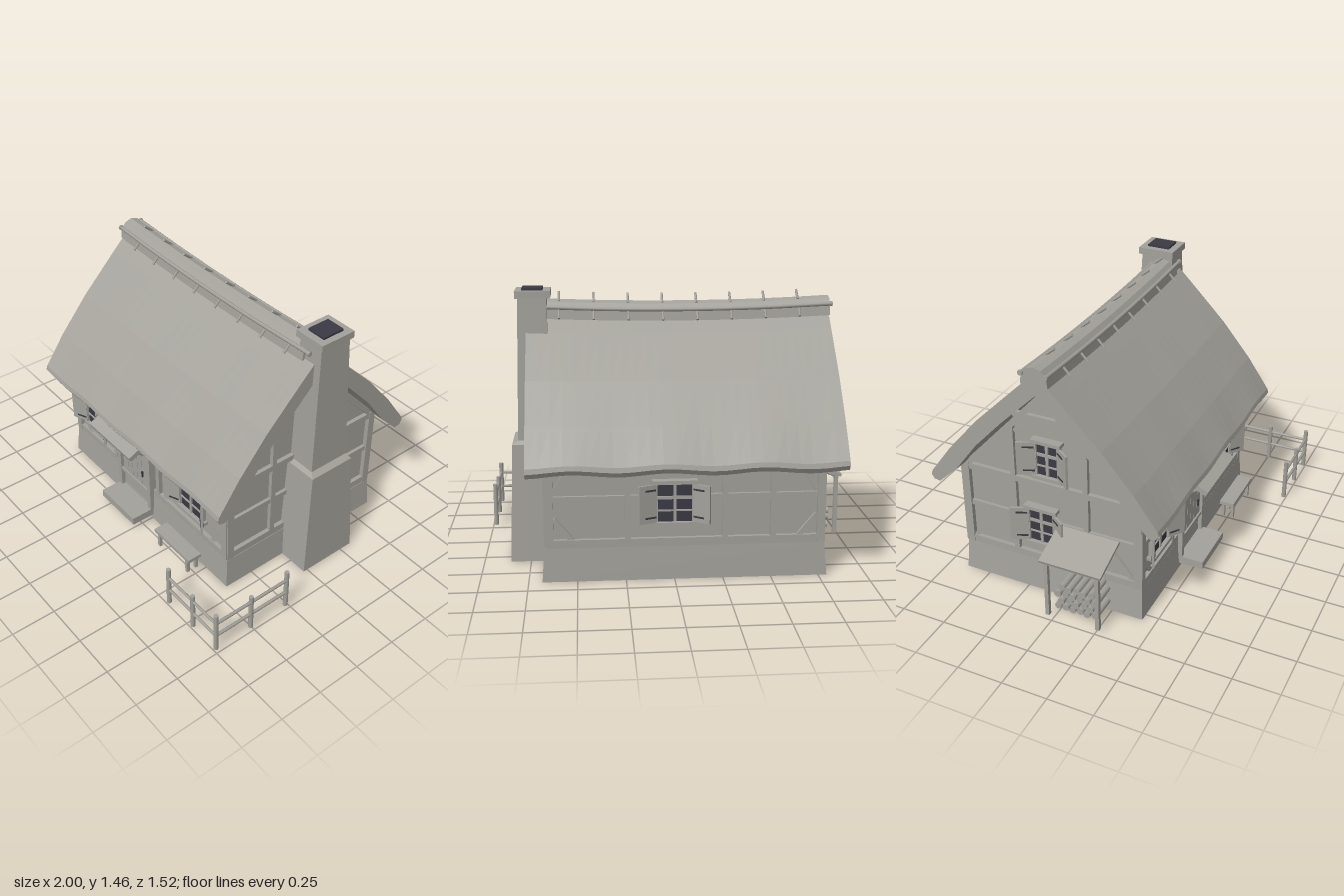
import * as THREE from 'three';

const grey = new THREE.MeshStandardMaterial({ color: 0xa3a19a });
grey.name = 'weathered grey';
const dark = new THREE.MeshStandardMaterial({ color: 0x3b3a44 });
dark.name = 'dark glass and iron';

const CX = -0.06, CZ = -0.11; // centre of the house

function add(parent, name, geo, mat = grey) {
  const m = new THREE.Mesh(geo, mat);
  m.name = name;
  parent.add(m);
  return m;
}
function box(parent, name, w, h, d, x, y, z, mat) {
  const m = add(parent, name, new THREE.BoxGeometry(w, h, d), mat);
  m.position.set(x, y, z);
  return m;
}
function group(parent, name, x = 0, y = 0, z = 0, ry = 0) {
  const g = new THREE.Group();
  g.name = name;
  g.position.set(x, y, z);
  g.rotation.y = ry;
  parent.add(g);
  return g;
}
// Round pole between two points
function pole(parent, name, a, b, r, sides = 8, mat) {
  const A = new THREE.Vector3(...a), B = new THREE.Vector3(...b), d = B.clone().sub(A);
  const m = add(parent, name, new THREE.CylinderGeometry(r, r, d.length(), sides), mat);
  m.position.copy(A).addScaledVector(d, 0.5);
  m.quaternion.setFromUnitVectors(new THREE.Vector3(0, 1, 0), d.normalize());
  return m;
}
// Box whose lower and upper rectangles [x0, x1, z0, z1] differ
function taper(parent, name, lo, hi, y0, y1) {
  const g = new THREE.BoxGeometry(1, 1, 1), p = g.attributes.position;
  for (let i = 0; i < p.count; i++) {
    const up = p.getY(i) > 0, r = up ? hi : lo;
    p.setXYZ(i, r[p.getX(i) > 0 ? 1 : 0], up ? y1 : y0, r[p.getZ(i) > 0 ? 3 : 2]);
  }
  g.computeVertexNormals();
  return add(parent, name, g);
}
// Prism along x from a [d, y] section, d being measured from the ridge line
function prism(pts, x0, x1, steps = 1) {
  const shape = new THREE.Shape(pts.map(([d, y]) => new THREE.Vector2(d, y)));
  const g = new THREE.ExtrudeGeometry(shape, { depth: x1 - x0, steps, bevelEnabled: false });
  g.rotateY(Math.PI / 2);
  g.translate(x0, 0, CZ);
  return g;
}
const sag = (x) => 0.022 * (((x - CX) / 0.81) ** 2 - 0.5);
// Sagging ridge and wavy eaves
function weather(g) {
  const p = g.attributes.position;
  for (let i = 0; i < p.count; i++) {
    const x = p.getX(i), y = p.getY(i);
    const t = THREE.MathUtils.clamp((y - 0.6) / 0.75, 0, 1);
    p.setY(i, y + sag(x) * t + 0.008 * Math.sin(13 * x + 1) * (1 - t) ** 3);
  }
  g.computeVertexNormals();
  return g;
}

// Timber lying on a wall between two points of that wall
function timber(wall, u0, v0, u1, v1, w = 0.034, depth = 0.025) {
  const m = box(wall, 'timber', Math.hypot(u1 - u0, v1 - v0), w, depth, (u0 + u1) / 2, (v0 + v1) / 2, depth / 2);
  m.rotation.z = Math.atan2(v1 - v0, u1 - u0);
}
function windowUnit(wall, u, v, w = 0.19, h = 0.2) {
  const g = group(wall, 'window', u, v, 0.012);
  box(g, 'glass', w, h, 0.008, 0, 0, 0.008, dark);
  for (const s of [-1, 1]) {
    box(g, 'windowJamb', 0.014, h, 0.03, s * w / 2, 0, 0.008);
    box(g, s > 0 ? 'lintel' : 'windowSill', w + 0.04, 0.02, 0.045, 0, s * (h / 2 + 0.01), 0.012);
    // Half-open shutter with iron straps
    const hinge = group(g, 'shutter', s * w / 2, 0, 0.02, -s * (s > 0 ? 0.62 : 0.4));
    box(hinge, 'shutterBoard', 0.098, h, 0.012, s * 0.049, 0, 0);
    for (const k of [-1, 1])
      box(hinge, 'strap', 0.06, 0.009, 0.018, s * 0.035, k * h * 0.36, 0, dark);
  }
  box(g, 'mullion', 0.016, h, 0.014, 0, 0, 0.013);
  box(g, 'glazingRail', w, 0.016, 0.014, 0, h * 0.14, 0.013);
  box(g, 'glazingRail', w, 0.008, 0.012, 0, -h * 0.2, 0.013);
}
// Frame shared by all four walls
function framing(wall, half, studs) {
  timber(wall, -half, 0.2, half, 0.2, 0.042);
  timber(wall, -half, 0.668, half, 0.668);
  timber(wall, -half, 0.435, half, 0.435, 0.03, 0.02);
  for (const s of [-1, 1]) timber(wall, s * (half - 0.02), 0.18, s * (half - 0.02), 0.69, 0.042, 0.028);
  for (const u of studs) timber(wall, u, 0.2, u, 0.66, 0.03);
}

export function createModel() {
  const model = new THREE.Group();
  model.name = 'cottage';

  // Stone plinth and plastered body
  taper(model, 'plinth', [-0.795, 0.68, -0.64, 0.426], [-0.78, 0.667, -0.63, 0.415], 0, 0.178);
  add(model, 'walls', prism([[-0.502, 0.15], [0.502, 0.15], [0.502, 0.65], [0, 1.2], [-0.502, 0.65]], -0.757, 0.642));

  // Timber-framed walls
  const front = group(model, 'frontWall', CX, 0, CZ + 0.5);
  const back = group(model, 'backWall', CX, 0, CZ - 0.5, Math.PI);
  const right = group(model, 'chimneyGable', 0.64, 0, CZ, Math.PI / 2);
  const left = group(model, 'leanToGable', -0.755, 0, CZ, -Math.PI / 2);
  framing(front, 0.72, [-0.31, 0.105]);
  framing(back, 0.72, [-0.3, 0.2, 0.45]);
  for (const wall of [front, back])
    for (const s of [-1, 1]) {
      timber(wall, s * 0.68, 0.33, s * 0.58, 0.21, 0.026, 0.018);
      timber(wall, s * 0.68, 0.46, s * 0.57, 0.64, 0.026, 0.018);
    }
  for (const wall of [left, right]) {
    framing(wall, 0.52, [-0.21, 0.21]);
    timber(wall, -0.19, 1.055, 0.19, 1.055, 0.03);
    for (const s of [-1, 1]) {
      timber(wall, s * 0.21, 0.68, s * 0.21, 0.98, 0.028);
      timber(wall, s * 0.48, 0.69, 0, 1.215, 0.034);
      timber(wall, s * 0.19, 0.95, s * 0.07, 1.05, 0.026, 0.02);
    }
  }
  for (const s of [-1, 1]) timber(left, s * 0.47, 0.22, s * 0.3, 0.42, 0.026, 0.018);
  windowUnit(front, -0.495, 0.41);
  windowUnit(front, 0.42, 0.41);
  windowUnit(back, -0.06, 0.41);
  windowUnit(left, -0.05, 0.41, 0.15);
  windowUnit(left, 0, 0.83, 0.13, 0.19);

  // Thatched roof
  const outer = [[0.13, 1.23], [0.35, 1.013], [0.52, 0.815], [0.648, 0.64], [0.655, 0.615], [0.64, 0.59], [0.605, 0.585]];
  const inner = [[0.495, 0.69], [0.364, 0.865], [0.2, 1.04]];
  const half = [...outer, ...inner];
  const section = [[0, 1.355], ...half, [0, 1.235], ...half.map(([d, y]) => [-d, y]).reverse()];
  add(model, 'thatch', weather(prism(section, -0.87, 0.75, 26)));

  // Ridge roll with poles and pegs
  const roll = [[-0.075, 1.29], [-0.068, 1.345], [-0.04, 1.378], [0, 1.39], [0.04, 1.378], [0.068, 1.345], [0.075, 1.29]];
  add(model, 'ridgeRoll', weather(prism(roll, -0.875, 0.68, 20)));
  for (const s of [-1, 1]) {
    const path = new THREE.CatmullRomCurve3([-0.88, -0.48, -0.08, 0.32, 0.72].map(
      (x) => new THREE.Vector3(x, 1.35 + sag(x), CZ + s * 0.068)));
    add(model, 'ridgePole', new THREE.TubeGeometry(path, 20, 0.011, 7));
    for (const x of [-0.88, 0.72])
      pole(model, 'poleEnd', [x - 0.006, 1.35 + sag(x), CZ + s * 0.068], [x + 0.006, 1.35 + sag(x), CZ + s * 0.068], 0.014);
  }
  for (let i = 0; i < 8; i++) {
    const x = -0.705 + i * 0.183, y = sag(x);
    pole(model, 'peg', [x, 1.38 + y, CZ - 0.03], [x, 1.425 + y, CZ + 0.025], 0.007, 6);
    for (const s of [-1, 1])
      pole(model, 'peg', [x, 1.355 + y, CZ + s * 0.05], [x, 1.298 + y, CZ + s * 0.105], 0.007, 6);
  }

  // Chimney
  const stack = group(model, 'chimney');
  taper(stack, 'chimneyBase', [0.6, 0.858, -0.325, 0.025], [0.6, 0.836, -0.288, -0.012], 0, 0.64);
  taper(stack, 'chimneyShoulder', [0.6, 0.836, -0.288, -0.012], [0.63, 0.805, -0.276, -0.032], 0.64, 0.66);
  taper(stack, 'chimneyShaft', [0.63, 0.805, -0.276, -0.032], [0.64, 0.79, -0.24, -0.054], 0.65, 1.415);
  box(stack, 'chimneyCap', 0.185, 0.038, 0.212, 0.712, 1.43, -0.148);
  box(stack, 'flue', 0.11, 0.012, 0.13, 0.714, 1.455, -0.148, dark);

  // Door with frame, canopy, brackets and step
  const door = group(model, 'doorway', -0.15, 0, 0.41);
  box(door, 'doorBacking', 0.25, 0.46, 0.02, 0, 0.305, 0);
  for (let i = 0; i < 5; i++) box(door, 'doorPlank', 0.044, 0.32, 0.014, -0.094 + i * 0.047, 0.365, 0.014);
  box(door, 'threshold', 0.26, 0.02, 0.04, 0, 0.195, 0.01);
  box(door, 'doorHandle', 0.01, 0.04, 0.009, 0.078, 0.29, 0.025, dark);
  box(door, 'doorLintel', 0.33, 0.03, 0.04, 0, 0.54, 0.01);
  for (const s of [-1, 1]) {
    box(door, 'doorPost', 0.03, 0.46, 0.045, s * 0.143, 0.305, 0.01);
    pole(door, 'canopyBracket', [s * 0.143, 0.485, 0.03], [s * 0.143, 0.562, 0.14], 0.011, 6);
    box(door, 'canopyArm', 0.022, 0.022, 0.13, s * 0.143, 0.56, 0.075);
  }
  const canopy = box(door, 'canopy', 0.385, 0.03, 0.2, 0, 0.595, 0.085);
  canopy.rotation.x = 0.42;
  box(door, 'doorStep', 0.31, 0.045, 0.16, 0, 0.052, 0.075);

  // Bench
  const bench = group(model, 'bench', 0.355, 0, 0.51);
  box(bench, 'benchSeat', 0.31, 0.02, 0.085, 0, 0.13, 0);
  box(bench, 'benchStretcher', 0.25, 0.015, 0.015, 0, 0.085, 0);
  for (const x of [-0.125, 0.125])
    for (const z of [-0.028, 0.028]) box(bench, 'benchLeg', 0.018, 0.09, 0.018, x, 0.075, z);

  // Lean-to and log pile
  const shed = group(model, 'leanTo', 0, 0, 0.115);
  const cover = box(shed, 'leanToRoof', 0.235, 0.016, 0.35, -0.89, 0.405, 0);
  cover.rotation.z = 0.34;
  for (const z of [-0.145, 0.145]) {
    box(shed, 'leanToPost', 0.022, 0.345, 0.022, -0.977, 0.192, z);
    pole(shed, 'leanToRafter', [-0.985, 0.355, z], [-0.78, 0.428, z], 0.009, 6);
  }
  box(shed, 'leanToBeam', 0.02, 0.02, 0.33, -0.977, 0.355, 0);
  for (let row = 0; row < 4; row++)
    for (let k = 0; k < 6 - (row % 2); k++) {
      const z = -0.105 + k * 0.042 + (row % 2) * 0.021, y = 0.057 + row * 0.041;
      const shift = 0.008 * Math.sin(row * 5 + k * 3);
      pole(shed, 'log', [-0.94 + shift, y, z], [-0.79, y, z], 0.02);
    }

  // Corner fence
  const fence = group(model, 'fence');
  const posts = [[0.585, 0.74], [0.79, 0.74], [0.98, 0.74], [0.98, 0.51], [0.98, 0.27]];
  posts.forEach(([x, z], i) => {
    pole(fence, 'fencePost', [x, 0.015, z], [x, i % 2 ? 0.24 : 0.262, z], 0.013);
    const next = posts[i + 1];
    if (next) for (const y of [0.112, 0.2])
      pole(fence, 'fenceRail', [x, y, z], [next[0], y, next[1]], 0.009, 6);
  });

  return model;
}
